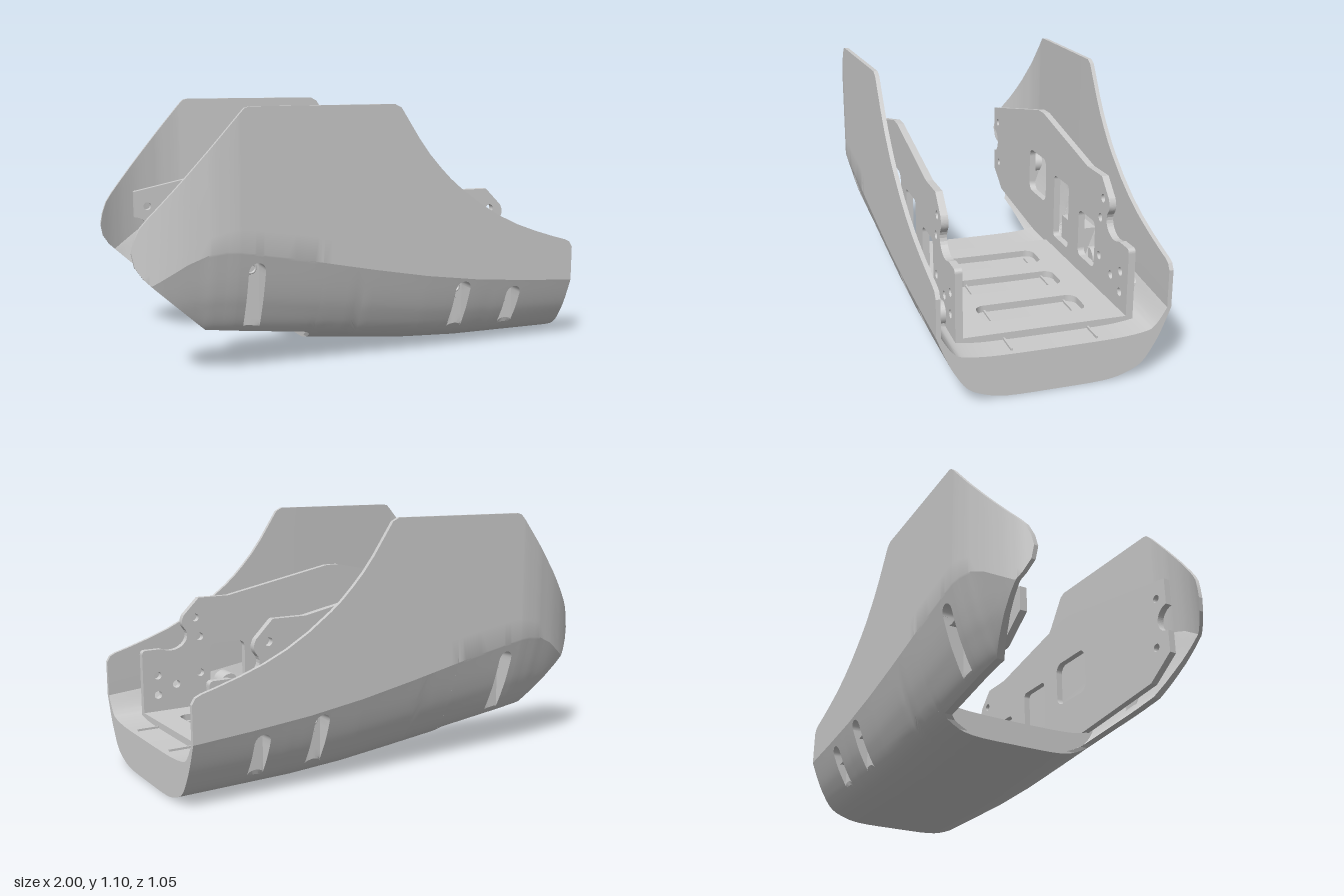
import * as THREE from 'three';
import { toCreasedNormals } from 'three/addons/utils/BufferGeometryUtils.js';

const mat = new THREE.MeshStandardMaterial({ color: 0xcccccc });
const V2 = (x, y) => new THREE.Vector2(x, y);

// piecewise-linear lookup in a list of [x, value]
function lerpTable(table) {
  return x => {
    if (x <= table[0][0]) return table[0][1];
    for (let i = 1; i < table.length; i++) {
      const [x0, a] = table[i - 1], [x1, b] = table[i];
      if (x <= x1) return a + (b - a) * (x - x0) / (x1 - x0);
    }
    return table[table.length - 1][1];
  };
}

// shell outlines along x: rim, lower edge, crease, keel and half width
const FLOOR_X = -0.235;
const hiT = [[-1, .53], [-.99, .58], [-.97, .63], [-.94, .67], [-.59, 1.075], [-.57, 1.095], [-.55, 1.1],
  [.08, 1.1], [.11, 1.085], [.14, 1.04], [.2, .95], [.25, .885], [.3, .83], [.35, .78], [.4, .738], [.5, .665],
  [.6, .605], [.7, .558], [.8, .521], [.9, .489], [.96, .472], [.985, .46], [1, .435]];
const loT = [[-1, .53], [-.99, .475], [-.96, .43], [-.93, .4], [-.71, .195], [-.26, .135], [-.245, .12], [FLOOR_X, .09]];
const creaseT = [[-1, .36], [-.9, .425], [-.8, .49], [-.72, .525], [-.65, .535], [-.6, .533], [-.4, .495], [-.2, .452],
  [0, .41], [.25, .362], [.5, .325], [.75, .3], [1, .28]];
const hi = lerpTable(hiT), lo = lerpTable(loT), crease = lerpTable(creaseT);
const keel = lerpTable([[-1, .13], [-.7, .11], [FLOOR_X, .07], [0, .045], [.25, .02], [.5, .006], [1, 0]]);
const width = lerpTable([[-1, .4], [-.95, .432], [-.9, .458], [-.85, .479], [-.8, .495], [-.7, .517], [-.6, .525], [0, .505], [1, .475]]);

// lower half section (z, y) from keel to crease, outside and inside
const outerCurve = new THREE.SplineCurve([V2(0, 0), V2(.42, .01), V2(.63, .09), V2(.76, .215), V2(.86, .46), V2(.925, .68), V2(1, 1)]);
const innerCurve = new THREE.SplineCurve([V2(0, 0), V2(.42, .01), V2(.63, .05), V2(.8, .16), V2(.86, .32), V2(.91, .6), V2(.963, 1)]);
const FLOOR_Y = .175;

function findT(x, y) {
  const v = (y - keel(x)) / (crease(x) - keel(x));
  let a = 0, b = 1;
  for (let i = 0; i < 30; i++) {
    const m = (a + b) / 2;
    if (outerCurve.getPoint(m).y < v) a = m; else b = m;
  }
  return (a + b) / 2;
}
const skinZ = (x, y) => width(x) * outerCurve.getPoint(findT(x, y)).x;

// screw pockets sunk in the flanks
const R = .035;
const pockets = [
  { x: -.52, y: .445, bottom: .2, screw: true },
  { x: .435, y: .285, bottom: .11, screw: true },
  { x: .7, y: .24, bottom: .1, screw: false },
];
pockets.forEach(p => { p.z = skinZ(p.x, p.bottom); });

// one cross-section: matching lists of outer and inner points
function section(x, withFloor) {
  const c = crease(x), k = keel(x), w = width(x);
  const pocket = pockets.reduce((a, b) => Math.abs(b.x - x) < Math.abs(a.x - x) ? b : a);
  const d = Math.abs(x - pocket.x), cut = d <= R + 1e-6;
  const t0 = withFloor ? 0 : findT(x, lo(x));
  const top = pocket.y + (cut ? Math.sqrt(Math.max(0, R * R - d * d)) : 0);
  const tS = Math.max(t0, findT(x, top));
  const outer = [], inner = [];
  const add = (t, clamp) => {
    const p = outerCurve.getPoint(t), q = innerCurve.getPoint(t);
    const o = [x, k + (c - k) * p.y, w * p.x];
    const i = withFloor ? [x, FLOOR_Y + (c - FLOOR_Y) * q.y, w * q.x]
      : [x, o[1], o[2] - .018 - .03 * (1 - t)];
    if (clamp) {
      o[2] = Math.min(o[2], pocket.z);
      i[2] = Math.min(i[2], pocket.z - .018);
    }
    outer.push(o); inner.push(i);
  };
  for (let i = 0; i <= 22; i++) add(t0 + (tS - t0) * i / 22, cut);
  for (let i = 0; i <= 6; i++) add(tS + (1 - tS) * i / 6, false);
  const base = withFloor ? c : Math.max(c, lo(x));
  if (base > c) for (const p of [...outer, ...inner]) p[1] = base;
  for (let i = 1; i <= 6; i++) {
    const y = base + (Math.max(hi(x), base) - base) * i / 6;
    outer.push([x, y, w]); inner.push([x, y, w - .018]);
  }
  return { outer, inner };
}

// loft the closed sections along x for one side (s = +1 or -1)
function loftShell(xs, withFloor, s) {
  const pos = [], idx = [];
  const tri = (a, b, c) => s > 0 ? idx.push(a, b, c) : idx.push(a, c, b);
  const quad = (a, b, c, d) => { tri(a, b, c); tri(a, c, d); };
  let n = 0;
  for (const x of xs) {
    const { outer, inner } = section(x, withFloor);
    const loop = [...outer, ...inner.reverse()];
    n = loop.length;
    for (const p of loop) pos.push(p[0], p[1], p[2] * s);
  }
  for (let j = 0; j < xs.length - 1; j++)
    for (let i = 0; i < n; i++) {
      if (withFloor && i === n - 1) continue;
      const i2 = (i + 1) % n, a = j * n, b = a + n;
      quad(a + i, b + i, b + i2, a + i2);
    }
  const last = (xs.length - 1) * n;
  for (let i = 0; i < n / 2 - 1; i++) {
    const m = n - 1 - i;
    quad(last + m, last + m - 1, last + i + 1, last + i);
    quad(i, i + 1, m - 1, m);
  }
  const g = new THREE.BufferGeometry();
  g.setAttribute('position', new THREE.Float32BufferAttribute(pos, 3));
  g.setIndex(idx);
  return toCreasedNormals(g, .3);
}

function stations() {
  let xs = [...hiT, ...loT, ...creaseT].map(p => p[0]);
  for (let i = 0; i <= 50; i++) xs.push(-1 + i * .04);
  xs = xs.filter(x => pockets.every(p => Math.abs(x - p.x) > R + .002));
  for (const p of pockets) {
    xs.push(p.x - R - .0005, p.x + R + .0005);
    for (let k = 0; k <= 12; k++) xs.push(p.x + R * Math.cos(k * Math.PI / 12));
  }
  xs.sort((a, b) => a - b);
  return xs.filter((x, i) => i === 0 || x - xs[i - 1] > 1e-5);
}

function hole(x, y, r) {
  return new THREE.Path().absarc(x, y, r, 0, Math.PI * 2, true);
}
function roundedHole(x0, y0, x1, y1, r) {
  const p = new THREE.Path();
  p.absarc(x0 + r, y0 + r, r, Math.PI * 1.5, Math.PI, true);
  p.absarc(x0 + r, y1 - r, r, Math.PI, Math.PI / 2, true);
  p.absarc(x1 - r, y1 - r, r, Math.PI / 2, 0, true);
  p.absarc(x1 - r, y0 + r, r, 0, -Math.PI / 2, true);
  return p.closePath();
}
const extrude = (shape, depth) => new THREE.ExtrudeGeometry(shape, { depth, bevelEnabled: false, curveSegments: 12 });

function plateShape() {
  const s = new THREE.Shape();
  s.moveTo(-.85, .34);
  s.lineTo(-.72, .25); s.lineTo(-.02, FLOOR_Y); s.lineTo(.88, FLOOR_Y);
  s.lineTo(.88, .47); s.quadraticCurveTo(.88, .49, .86, .49);
  s.lineTo(.79, .49);
  s.bezierCurveTo(.7, .45, .63, .53, .675, .575);
  s.quadraticCurveTo(.695, .6, .675, .635);
  s.lineTo(.6, .71); s.lineTo(.45, .71);
  s.lineTo(-.09, .82); s.lineTo(-.16, .82);
  s.lineTo(-.85, .68); s.lineTo(-.85, .56);
  s.absarc(-.85, .5, .06, Math.PI / 2, -Math.PI / 2, true);
  s.closePath();
  s.holes.push(roundedHole(-.27, .39, -.04, .6, .04), roundedHole(.07, .26, .25, .56, .02), roundedHole(.37, .28, .55, .49, .03));
  for (const [x, y] of [[.62, .62], [.6, .53], [.6, .36], [.72, .32], [.81, .37], [.81, .28], [-.79, .61], [-.77, .39]])
    s.holes.push(hole(x, y, .018));
  return s;
}

export function createModel() {
  const model = new THREE.Group();
  const add = (name, geometry, x = 0, y = 0, z = 0) => {
    const m = new THREE.Mesh(geometry, mat);
    m.name = name;
    m.position.set(x, y, z);
    model.add(m);
    return m;
  };
  const xs = stations();
  const rear = xs.filter(x => x <= FLOOR_X + 1e-6), front = xs.filter(x => x >= FLOOR_X - 1e-6);

  for (const s of [1, -1]) {
    const side = s > 0 ? 'front' : 'back';
    // outer shell halves
    add(side + 'ShellCheek', loftShell(rear, false, s));
    add(side + 'ShellBody', loftShell(front, true, s));

    // inner mounting plate
    add(side + 'Plate', extrude(plateShape(), .03), 0, 0, s > 0 ? .34 : -.37);

    // bosses joining plate and shell, with screws in the pockets
    for (const p of pockets) {
      const z1 = skinZ(p.x, p.y - .045) - .006, len = z1 - .365;
      const boss = new THREE.CylinderGeometry(.048, .048, len, 28, 1, true).rotateX(Math.PI / 2);
      add(side + 'Boss', boss, p.x, p.y, s * (.365 + len / 2));
      if (!p.screw) continue;
      add(side + 'ScrewRim', new THREE.TorusGeometry(.021, .005, 8, 24), p.x, p.y - .005, s * p.z);
      add(side + 'ScrewHead', new THREE.CylinderGeometry(.01, .01, .008, 6).rotateX(Math.PI / 2), p.x, p.y - .005, s * p.z);
    }

    // wedge block between plate and shell wall
    const wedge = new THREE.Shape([V2(s * .38, .17), V2(s * .395, .17), V2(s * .465, .36), V2(s * .38, .36)]);
    add(side + 'Wedge', extrude(wedge, .2).rotateY(-Math.PI / 2).scale(1, 1, 1), .28, 0, 0);

    // thin rib on the floor
    add(side + 'FloorRib', new THREE.BoxGeometry(.85, .012, .008), .55, FLOOR_Y + .004, s * .175);
  }

  // slotted tray between the plates
  const tray = new THREE.Shape([V2(-.02, -.345), V2(.88, -.345), V2(.88, .345), V2(-.02, .345)]);
  for (const x of [.09, .35, .62]) tray.holes.push(roundedHole(x, -.22, x + .15, .22, .04));
  add('tray', extrude(tray, .03).rotateX(Math.PI / 2), 0, .205, 0);
  return model;
}
